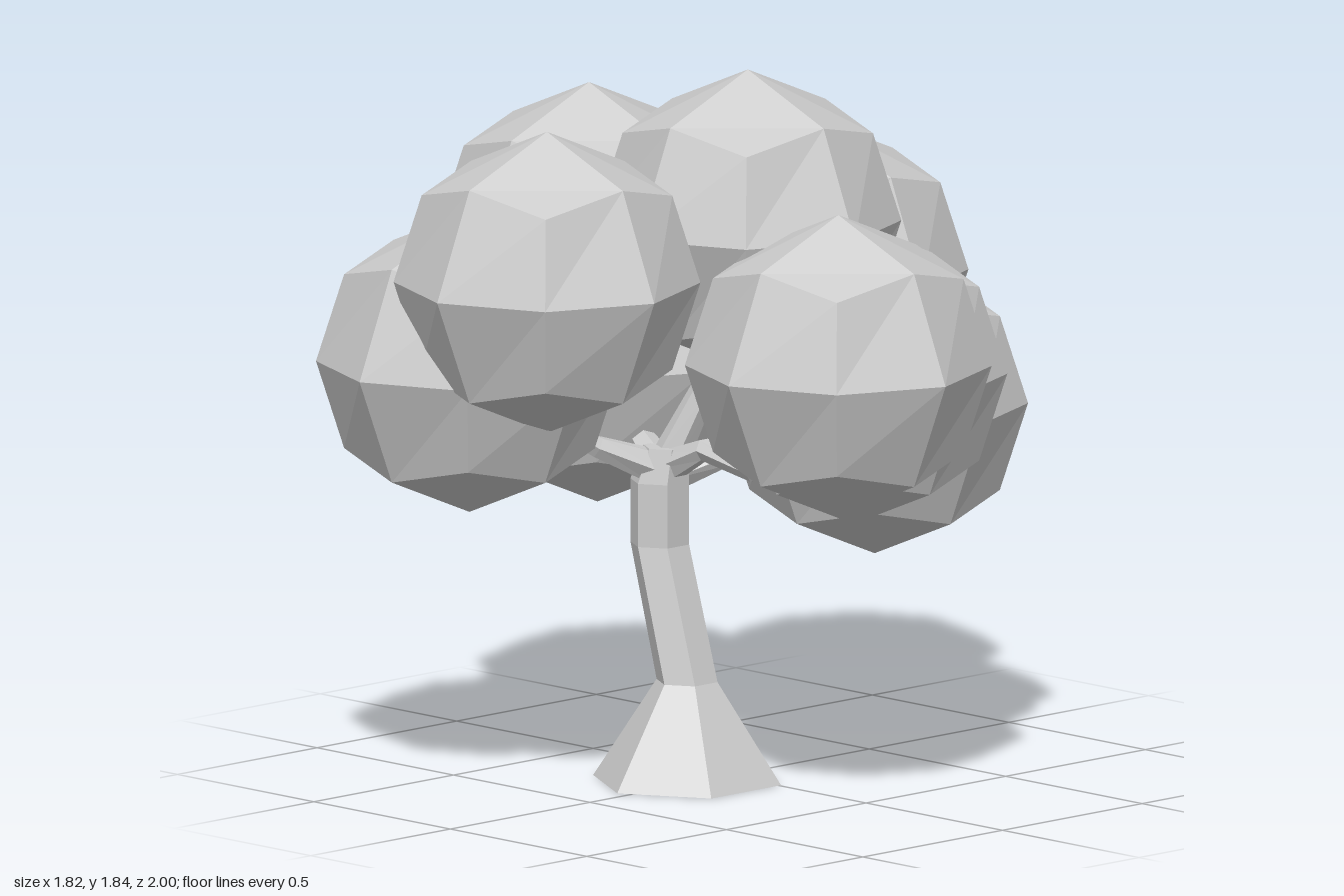
import * as THREE from 'three';

const SIDES = 6;
const UP = new THREE.Vector3(0, 1, 0);

// Faceted copy of a geometry: every face gets its own normal
function faceted(geo) {
  const flat = geo.index ? geo.toNonIndexed() : geo;
  flat.computeVertexNormals();
  return flat;
}

// Hexagonal limb through stations [x, y, z, radius]; level keeps the rings horizontal
function limb(stations, level) {
  const points = stations.map(([x, y, z]) => new THREE.Vector3(x, y, z));
  const position = [], index = [];
  points.forEach((p, i) => {
    const next = points[Math.min(i + 1, points.length - 1)];
    const prev = points[Math.max(i - 1, 0)];
    const dir = level ? UP : next.clone().sub(prev).normalize();
    const turn = new THREE.Quaternion().setFromUnitVectors(UP, dir);
    for (let j = 0; j < SIDES; j++) {
      const a = (j / SIDES) * Math.PI * 2, r = stations[i][3];
      const v = new THREE.Vector3(Math.sin(a) * r, 0, Math.cos(a) * r);
      position.push(...v.applyQuaternion(turn).add(p).toArray());
    }
  });
  for (let i = 0; i < points.length - 1; i++) {
    for (let j = 0; j < SIDES; j++) {
      const k = (j + 1) % SIDES;
      const a = i * SIDES + j, b = i * SIDES + k;
      index.push(a, b, b + SIDES, a, b + SIDES, a + SIDES);
    }
  }
  // End caps
  const top = (points.length - 1) * SIDES;
  for (let j = 1; j < SIDES - 1; j++) {
    index.push(0, j + 1, j, top, top + j, top + j + 1);
  }
  const geo = new THREE.BufferGeometry();
  geo.setAttribute('position', new THREE.Float32BufferAttribute(position, 3));
  geo.setIndex(index);
  return faceted(geo);
}

// Cube with 2 x 2 faces per side, pushed out to a sphere
function leafBall(radius) {
  const geo = new THREE.BoxGeometry(1, 1, 1, 2, 2, 2);
  const p = geo.attributes.position;
  const v = new THREE.Vector3();
  for (let i = 0; i < p.count; i++) {
    v.fromBufferAttribute(p, i).setLength(radius);
    p.setXYZ(i, v.x, v.y, v.z);
  }
  return faceted(geo);
}

export function createModel() {
  const tree = new THREE.Group();
  tree.name = 'tree';
  const grey = new THREE.MeshStandardMaterial({ color: 0xcccccc, flatShading: true });
  grey.name = 'light grey';

  const add = (parent, name, geo) => {
    const mesh = new THREE.Mesh(geo, grey);
    mesh.name = name;
    parent.add(mesh);
    return mesh;
  };

  // Flared, leaning trunk
  add(tree, 'trunk', limb([
    [-0.035, 0, 0.118, 0.25],
    [-0.035, 0.26, 0.118, 0.081],
    [-0.135, 0.605, 0.118, 0.078],
    [-0.135, 0.77, 0.118, 0.078],
    [-0.12, 0.86, 0.11, 0.06],
  ], true));

  // Branches reaching into the foliage
  const branches = new THREE.Group();
  branches.name = 'branches';
  tree.add(branches);
  const paths = [
    [[-0.13, 0.8, 0.11, 0.05], [0.02, 0.87, 0.11, 0.03], [0.2, 0.835, 0.11, 0.025], [0.34, 0.88, 0.11, 0.025], [0.46, 1.05, 0.11, 0.02]],
    [[-0.13, 0.8, 0.12, 0.05], [-0.2, 0.87, 0.28, 0.03], [-0.32, 1.0, 0.48, 0.025]],
    [[-0.13, 0.8, 0.12, 0.05], [-0.28, 0.87, 0.06, 0.03], [-0.45, 0.98, 0, 0.025]],
    [[-0.13, 0.78, 0.1, 0.05], [-0.04, 0.83, -0.04, 0.03], [0.03, 0.9, -0.3, 0.025]],
    [[-0.12, 0.82, 0.1, 0.05], [-0.05, 1.0, 0.05, 0.035], [0.02, 1.25, -0.02, 0.025]],
  ];
  for (const path of paths) add(branches, 'branch', limb(path, false));

  // Foliage balls
  const foliage = new THREE.Group();
  foliage.name = 'foliage';
  tree.add(foliage);
  const ball = leafBall(0.393);
  const centres = [
    [-0.052, 1.365, 0.603],
    [-0.365, 1.11, 0.575],
    [0.513, 1.16, 0.112],
    [0.028, 1.45, -0.038],
    [-0.515, 1.345, 0],
    [-0.52, 1.03, -0.035],
    [-0.308, 1.195, -0.607],
    [0.03, 0.91, -0.49],
    [0.22, 1.05, -0.23],
  ];
  for (const c of centres) add(foliage, 'leafBall', ball).position.set(...c);

  return tree;
}
